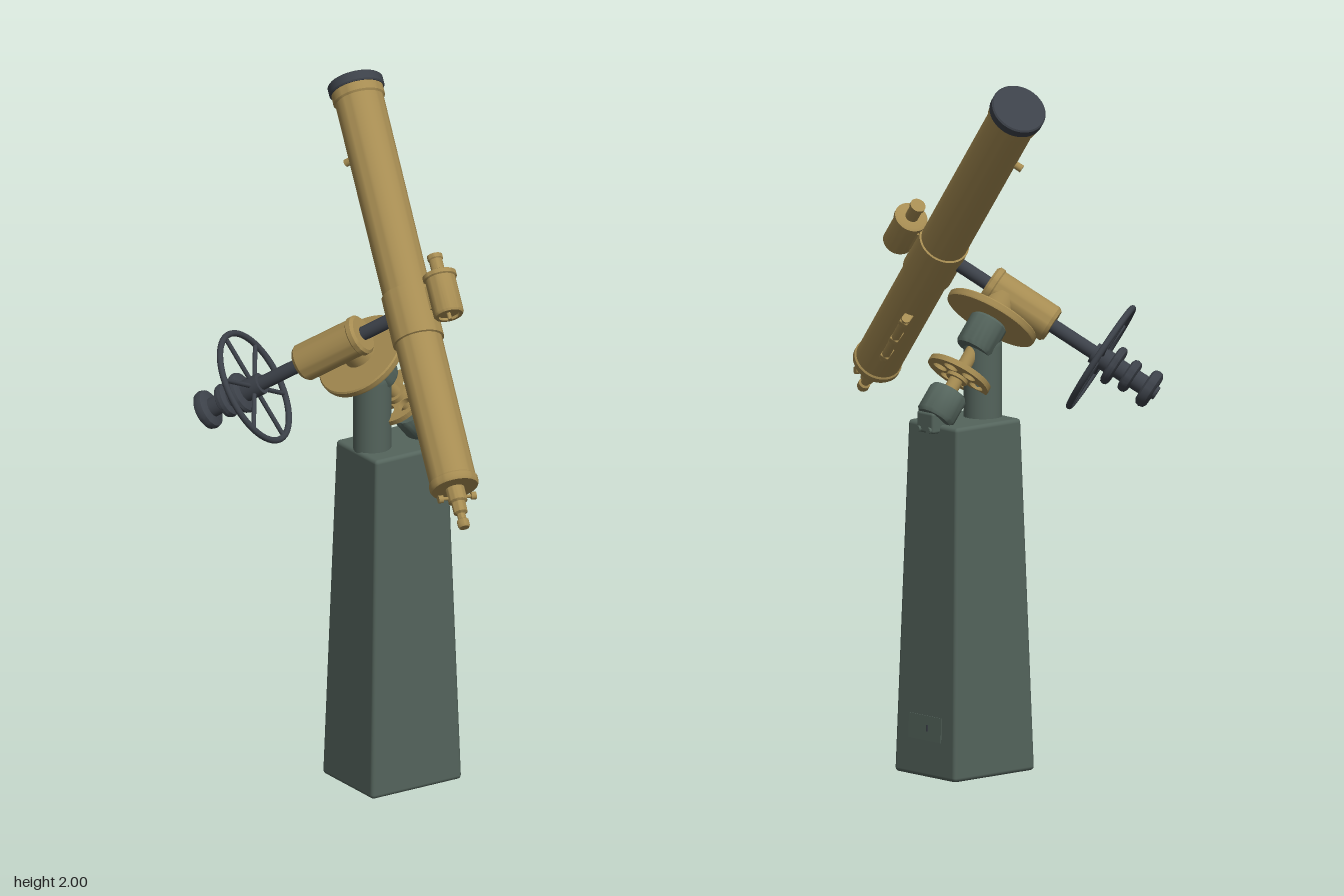
import * as THREE from 'three';
import { RoundedBoxGeometry } from 'three/addons/geometries/RoundedBoxGeometry.js';
import { toCreasedNormals } from 'three/addons/utils/BufferGeometryUtils.js';

const V = (x, y, z) => new THREE.Vector3(x, y, z);
const brass = new THREE.MeshStandardMaterial({ color: 0xa68c52 });
const green = new THREE.MeshStandardMaterial({ color: 0x54645c });
const iron = new THREE.MeshStandardMaterial({ color: 0x3c4149 });

function add(parent, name, geo, mat, x = 0, y = 0, z = 0) {
  const m = new THREE.Mesh(geo, mat);
  m.name = name;
  m.position.set(x, y, z);
  parent.add(m);
  return m;
}

// Solid of revolution about y from [radius, height] pairs, bottom to top
function turned(points, sides = 40) {
  const g = new THREE.LatheGeometry(points.map(p => new THREE.Vector2(p[0], p[1])), sides);
  return toCreasedNormals(g, 0.6);
}

// Plain cylinder spanning y0..y1
function rod(r, y0, y1, sides = 32) {
  return new THREE.CylinderGeometry(r, r, y1 - y0, sides).translate(0, (y0 + y1) / 2, 0);
}

// Group whose local y runs along an axis
function axisGroup(parent, name, origin, dir) {
  const g = new THREE.Group();
  g.name = name;
  g.position.copy(origin);
  g.quaternion.setFromUnitVectors(V(0, 1, 0), dir.clone().normalize());
  parent.add(g);
  return g;
}

function buildPier(root) {
  const pier = new THREE.Group();
  pier.name = 'pier';
  pier.position.set(0.063, 0, -0.047);
  pier.rotation.y = -0.297;
  root.add(pier);
  // Tapered column
  const geo = new RoundedBoxGeometry(0.303, 1, 0.256, 3, 0.012);
  const p = geo.attributes.position;
  for (let i = 0; i < p.count; i++) {
    const k = 1 - 0.2 * (p.getY(i) + 0.5);
    p.setX(i, p.getX(i) * k);
    p.setZ(i, p.getZ(i) * k);
  }
  add(pier, 'pierColumn', geo, green, 0, 0.5, 0);
  // Access door with its keyhole
  const door = add(pier, 'accessDoor', new THREE.BoxGeometry(0.004, 0.07, 0.135), green, 0.1475, 0.14, 0);
  door.rotation.z = 0.03;
  add(door, 'doorLatch', new THREE.BoxGeometry(0.004, 0.018, 0.006), iron, 0.002, 0, -0.01);
}

function buildPolarAxis(root, origin, dir) {
  // Upright post carrying the upper bearing
  add(root, 'mountPost', rod(0.054, 0.99, 1.2), green, 0, 0, -0.068);
  add(root, 'postElbow', new THREE.SphereGeometry(0.054, 32, 16), green, 0, 1.2, -0.068);
  const g = axisGroup(root, 'polarAxis', origin, dir);
  add(g, 'upperBearing', turned([[0, -0.11], [0.05, -0.11], [0.055, -0.1], [0.055, -0.02], [0.045, -0.01], [0, -0.01]]), green);
  add(g, 'hourCircle', turned([[0, -0.012], [0.135, -0.012], [0.137, -0.006], [0.137, 0.006], [0.133, 0.01], [0, 0.01]], 64), brass);
  add(g, 'axisHead', rod(0.048, 0, 0.07), brass);
  add(g, 'polarShaft', rod(0.02, -0.3, -0.09), brass);
  // Pierced gear wheel
  const shape = new THREE.Shape().absarc(0, 0, 0.095, 0, Math.PI * 2);
  for (let i = 0; i < 6; i++) {
    const a = i * Math.PI / 3;
    shape.holes.push(new THREE.Path().absarc(0.057 * Math.cos(a), 0.057 * Math.sin(a), 0.021, 0, Math.PI * 2, true));
  }
  const gear = new THREE.ExtrudeGeometry(shape, { depth: 0.016, bevelEnabled: false, curveSegments: 32 });
  add(g, 'gearWheel', gear.rotateX(-Math.PI / 2), brass, 0, -0.2, 0);
  add(g, 'gearHub', rod(0.032, -0.21, -0.17), brass);
  // Lower bearing and its foot on the pier
  add(g, 'lowerBearing', turned([[0, -0.34], [0.05, -0.34], [0.056, -0.33], [0.056, -0.26], [0.05, -0.25], [0, -0.25]]), green);
  const foot = add(root, 'lowerBearingFoot', new RoundedBoxGeometry(0.075, 0.06, 0.07, 2, 0.008), green, 0.168, 1.007, -0.012);
  foot.rotation.y = -0.297;
  for (const s of [-1, 1])
    add(foot, 'footBolt', rod(0.009, -0.015, 0.015, 12), green, 0.03, -0.02, s * 0.022).rotation.z = Math.PI / 2;
}

function buildDeclinationAxis(root, origin, dir) {
  const g = axisGroup(root, 'declinationAxis', origin, dir);
  add(g, 'declinationShaft', rod(0.02, 0.04, 0.72), iron);
  add(g, 'declinationHousing', turned([[0, 0.165], [0.05, 0.165], [0.058, 0.172], [0.058, 0.186], [0.054, 0.19],
    [0.054, 0.37], [0.047, 0.38], [0, 0.38]]), brass);
  // Spoked handwheel
  const wheel = new THREE.Group();
  wheel.name = 'handwheel';
  wheel.position.y = 0.542;
  g.add(wheel);
  add(wheel, 'wheelRim', new THREE.TorusGeometry(0.163, 0.009, 12, 64).rotateX(Math.PI / 2), iron);
  for (let i = 0; i < 3; i++)
    add(wheel, 'wheelSpokes', rod(0.0065, -0.16, 0.16, 12).rotateX(Math.PI / 2).rotateY(0.35 + i * Math.PI / 3), iron);
  add(wheel, 'wheelHub', rod(0.031, -0.025, 0.04), iron);
  // Stacked counterweights, the last one at the very end
  [[0.585, 0.06, 0.026], [0.638, 0.05, 0.03], [0.703, 0.057, 0.034]].forEach(([y, r, h]) => {
    add(g, 'counterweight', turned([[0, -h / 2], [r - 0.012, -h / 2], [r - 0.003, -h / 3], [r, 0],
      [r - 0.003, h / 3], [r - 0.012, h / 2], [0, h / 2]]), iron, 0, y, 0);
  });
  add(g, 'weightCollar', rod(0.028, 0.56, 0.69), iron);
  add(g, 'endNut', rod(0.02, 0.71, 0.728), iron);
}

function buildTelescope(root, origin, along, out) {
  // Local y runs toward the lens, local z away from the declination axis
  const g = new THREE.Group();
  g.name = 'telescope';
  const y = along.clone().normalize();
  const x = y.clone().cross(out).normalize();
  g.quaternion.setFromRotationMatrix(new THREE.Matrix4().makeBasis(x, y, x.clone().cross(y)));
  g.position.copy(origin);
  root.add(g);

  add(g, 'mainTube', turned([[0, -0.56], [0.066, -0.56], [0.07, -0.553], [0.07, -0.538], [0.066, -0.533], [0.067, -0.1],
    [0.073, -0.098], [0.073, 0.05], [0.068, 0.052], [0.069, 0.655], [0.074, 0.66], [0.074, 0.695], [0, 0.695]], 48), brass);
  add(g, 'lensCap', turned([[0, 0.685], [0.076, 0.685], [0.079, 0.689], [0.079, 0.712], [0.075, 0.716], [0, 0.716]], 48), iron);
  // Eyepiece and focus knobs
  add(g, 'eyepiece', turned([[0, -0.682], [0.014, -0.682], [0.017, -0.676], [0.017, -0.66], [0.012, -0.655], [0.012, -0.64],
    [0.02, -0.635], [0.02, -0.605], [0.027, -0.6], [0.027, -0.555], [0, -0.555]], 32), brass);
  const side = V(-0.838, 0, -0.545).applyQuaternion(g.quaternion.clone().invert());
  const focus = axisGroup(g, 'focuser', V(0, -0.587, 0), side);
  add(focus, 'focusShaft', rod(0.005, -0.05, 0.05, 12), brass);
  for (const s of [-1, 1]) add(focus, 'focusKnob', rod(0.011, -0.007, 0.007, 20), brass, 0, s * 0.048, 0);

  // Short finder on the outer side
  const finder = new THREE.Group();
  finder.name = 'finder';
  finder.position.set(0, 0, 0.114);
  g.add(finder);
  add(finder, 'finderBody', turned([[0, -0.06], [0.03, -0.06], [0.03, -0.068], [0.039, -0.068], [0.043, -0.062], [0.043, 0.045],
    [0.048, 0.048], [0.048, 0.06], [0.04, 0.064], [0, 0.064]]), brass);
  add(finder, 'finderTube', turned([[0, 0.06], [0.019, 0.06], [0.019, 0.105], [0.022, 0.108], [0.022, 0.12], [0, 0.12]], 28), brass);
  add(finder, 'finderPin', rod(0.006, -0.08, -0.05, 12), brass);
  add(g, 'finderSaddle', new THREE.BoxGeometry(0.04, 0.07, 0.05), brass, 0, 0, 0.065);

  // Slide rail along the lower tube
  add(g, 'slideRail', rod(0.012, -0.42, -0.22, 20), brass, 0.088, 0, -0.02);
  for (const h of [-0.405, -0.32, -0.235])
    add(g, 'railBracket', new RoundedBoxGeometry(0.045, 0.018, 0.026, 2, 0.004), brass, 0.078, h, -0.02);
  // Small knob under the upper tube
  add(g, 'tubeKnob', rod(0.011, -0.09, -0.055, 20).rotateX(Math.PI / 2), brass, 0, 0.5, 0);
}

export function createModel() {
  const root = new THREE.Group();
  root.name = 'telescopeOnPier';
  const pivot = V(-0.015, 1.45, 0.085);
  const declination = V(-0.304, -0.526, -0.793);
  buildPier(root);
  buildPolarAxis(root, V(-0.03, 1.277, -0.08), V(-0.61, 0.77, -0.187));
  buildDeclinationAxis(root, pivot, declination);
  buildTelescope(root, pivot, V(0.395, 0.69, -0.607), declination.clone().negate());
  return root;
}
